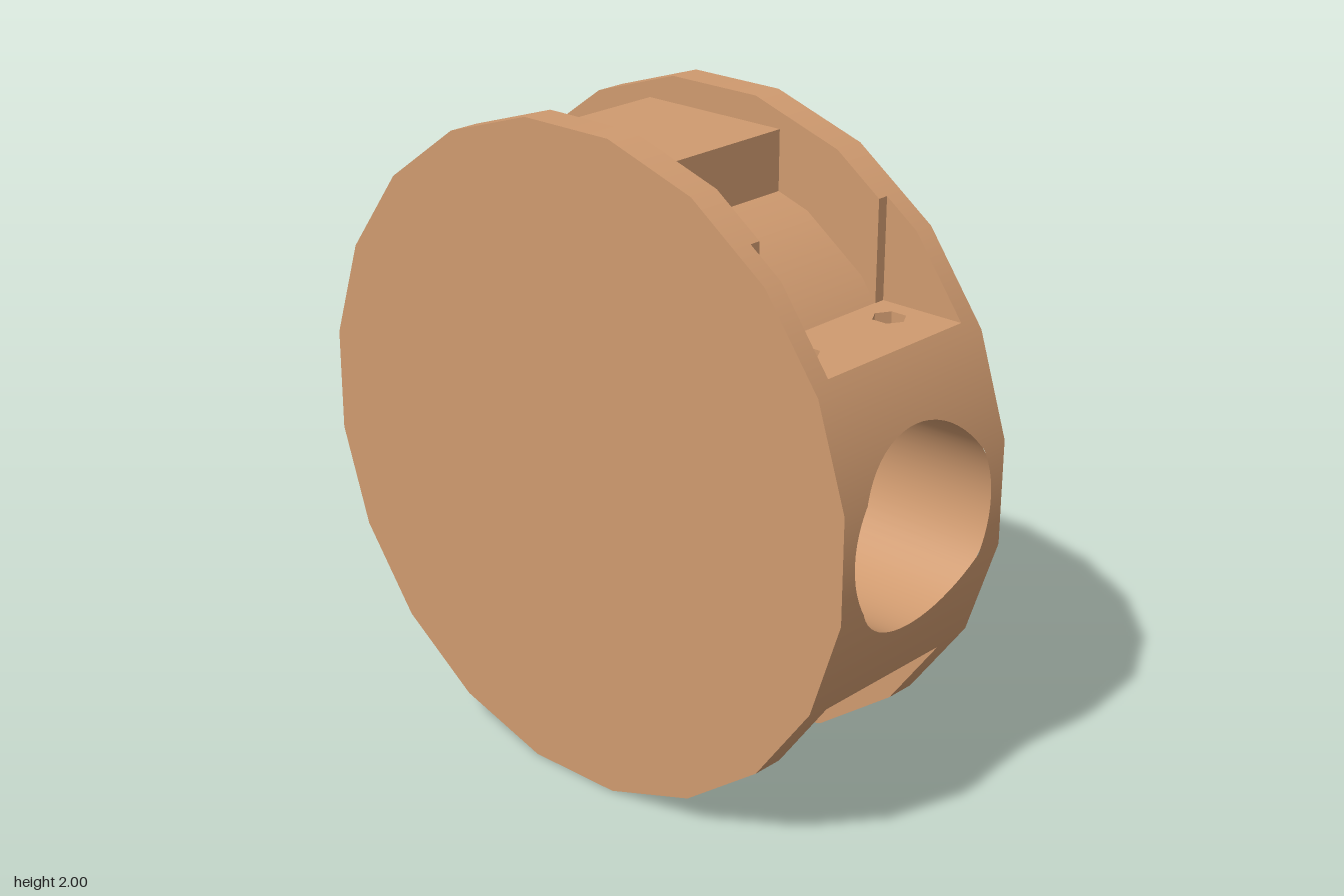
import * as THREE from 'three';

const COLOR = 0xcf9a6f;
const RAD = Math.PI / 180;
const STEP = 18;                       // 20-sided outline, flat at the top
const HALF = 0.35, GAP = 0.25, NOTCH = 0.285;
const RIM = 1, DRUM = 0.78;            // apothems
const BLOCK = 0.49, WALL_X = 0.61;     // block half height, notch wall
const BORE = 0.3, BORE_END = 0.25;

const front = new THREE.MeshStandardMaterial({ color: COLOR });
const back = new THREE.MeshStandardMaterial({ color: COLOR, side: THREE.BackSide });
const facetedBack = new THREE.MeshStandardMaterial({ color: COLOR, side: THREE.BackSide, flatShading: true });

// Point on the 20-sided outline at an angle in degrees
function onOutline(apothem, deg) {
  const r = apothem / Math.cos((deg - Math.round(deg / STEP) * STEP) * RAD);
  return new THREE.Vector2(r * Math.cos(deg * RAD), r * Math.sin(deg * RAD));
}

// Part of the outline between two angles, with all corners in between
function arc(apothem, a0, a1) {
  const pts = [onOutline(apothem, a0)];
  for (let a = Math.ceil((a0 - 9) / STEP) * STEP + 9; a < a1 - 1e-6; a += STEP)
    if (a > a0 + 1e-6) pts.push(onOutline(apothem, a));
  pts.push(onOutline(apothem, a1));
  return pts;
}

// x of the outline's right side at height y
function outlineX(y, apothem = RIM) {
  return Math.min(...[-36, -18, 0, 18, 36].map(c => (apothem - y * Math.sin(c * RAD)) / Math.cos(c * RAD)));
}

function mesh(name, geometry, material = front) {
  const m = new THREE.Mesh(geometry, material);
  m.name = name;
  return m;
}

// Strip that sweeps a counterclockwise path along z; lo and hi may vary with y
function ribbon(path, lo, hi, smooth = true) {
  const pos = [], nor = [];
  for (let i = 0; i < path.length - 1; i++) {
    const p = path[i], q = path[i + 1];
    const flat = new THREE.Vector2(q.y - p.y, p.x - q.x).normalize();
    const add = (v, zf) => {
      const n = smooth ? v.clone().normalize() : flat;
      pos.push(v.x, v.y, typeof zf === 'function' ? zf(v.y) : zf);
      nor.push(n.x, n.y, 0);
    };
    add(p, lo); add(q, lo); add(q, hi);
    add(p, lo); add(q, hi); add(p, hi);
  }
  const g = new THREE.BufferGeometry();
  g.setAttribute('position', new THREE.Float32BufferAttribute(pos, 3));
  g.setAttribute('normal', new THREE.Float32BufferAttribute(nor, 3));
  return g;
}

// Flat face across z
function face(name, points, z, material) {
  const m = mesh(name, new THREE.ShapeGeometry(new THREE.Shape(points)), material);
  m.position.z = z;
  return m;
}

// Round bore along x whose mouth follows the rim
function boreWall() {
  const pos = [], nor = [], idx = [], n = 64;
  for (let i = 0; i <= n; i++) {
    const t = i / n * Math.PI * 2, c = Math.cos(t), s = Math.sin(t);
    pos.push(outlineX(BORE * s), BORE * s, BORE * c, BORE_END, BORE * s, BORE * c);
    nor.push(0, -s, -c, 0, -s, -c);
    const a = i * 2;
    if (i < n) idx.push(a, a + 2, a + 1, a + 1, a + 2, a + 3);
  }
  const g = new THREE.BufferGeometry();
  g.setAttribute('position', new THREE.Float32BufferAttribute(pos, 3));
  g.setAttribute('normal', new THREE.Float32BufferAttribute(nor, 3));
  g.setIndex(idx);
  return mesh('boreWall', g, new THREE.MeshStandardMaterial({ color: COLOR, side: THREE.DoubleSide }));
}

export function createModel() {
  const model = new THREE.Group();
  model.name = 'spool';
  const body = new THREE.Group();
  body.name = 'spoolBody';
  body.position.y = 1;
  model.add(body);

  const edgeX = outlineX(BLOCK), drumX = outlineX(BLOCK, DRUM);
  const aBlock = Math.atan2(BLOCK, edgeX) / RAD;
  const wallY = (RIM - WALL_X * Math.sin(36 * RAD)) / Math.cos(36 * RAD);
  const aWall = Math.atan2(wallY, WALL_X) / RAD;
  const aDrum = Math.atan2(BLOCK, drumX) / RAD;
  const V = (x, y) => new THREE.Vector2(x, y);

  // Rim of the block between the flanges, pierced by the bore
  const ys = [-BLOCK, BLOCK];
  for (const a of [9, 27]) ys.push(Math.sin(a * RAD) * RIM / Math.cos(9 * RAD), -Math.sin(a * RAD) * RIM / Math.cos(9 * RAD));
  for (let i = 0; i <= 32; i++) ys.push(BORE * Math.sin((i / 32 - 0.5) * Math.PI));
  ys.sort((a, b) => a - b);
  const blockPath = ys.map(y => V(outlineX(y), y));
  const gap = y => Math.sqrt(Math.max(0, BORE * BORE - y * y));

  const longArc = arc(RIM, aWall, 360 - aBlock);
  const notchArc = arc(RIM, aBlock, aWall);
  const innerFace = [...longArc, V(0, -BLOCK), V(0, BLOCK), V(WALL_X, BLOCK)];
  const notchFace = [V(WALL_X, BLOCK), ...notchArc];
  const wall = [V(WALL_X, BLOCK), V(WALL_X, wallY)];

  // Two flanges, with a shallow notch cut in the inner side of each
  for (const s of [1, -1]) {
    const span = (a, b) => s > 0 ? [a, b] : [-b, -a];
    const flange = new THREE.Group();
    flange.name = s > 0 ? 'frontFlange' : 'backFlange';
    const outward = s > 0 ? front : back, inward = s > 0 ? back : front;
    flange.add(
      face('outerFace', arc(RIM, 9, 351), s * HALF, outward),
      face('innerFace', innerFace, s * GAP, inward),
      face('notchSide', notchFace, s * NOTCH, inward),
      mesh('rim', ribbon(longArc, ...span(GAP, HALF))),
      mesh('notchRim', ribbon(notchArc, ...span(NOTCH, HALF))),
      mesh('notchWall', ribbon(wall, ...span(GAP, NOTCH), false)),
      mesh('blockRim', s > 0 ? ribbon(blockPath, gap, HALF) : ribbon(blockPath, -HALF, y => -gap(y)))
    );
    body.add(flange);
  }

  // Winding drum and the stop block on top of it
  body.add(mesh('drum', ribbon(arc(DRUM, aDrum, 360 - aDrum), -GAP, GAP)));
  const stop = mesh('stopBlock', new THREE.BoxGeometry(0.5, 0.32, GAP * 2));
  stop.position.y = 0.76;
  body.add(stop);

  // Underside of the side block
  body.add(mesh('blockUnderside', ribbon([V(drumX, -BLOCK), V(edgeX, -BLOCK)], -GAP, GAP, false)));

  // Bore and its end
  const end = mesh('boreEnd', new THREE.CircleGeometry(BORE, 64));
  end.rotation.y = Math.PI / 2;
  end.position.x = BORE_END;
  body.add(boreWall(), end);

  // Top of the side block with two hexagonal screw holes
  const top = new THREE.Shape([V(drumX, -NOTCH), V(edgeX, -NOTCH), V(edgeX, NOTCH), V(drumX, NOTCH)]);
  const holeX = 0.71, holeR = 0.05, depth = 0.12;
  for (const z of [-0.185, 0.185]) {
    const hex = [];
    for (let i = 0; i < 6; i++) hex.push(V(holeX + holeR * Math.cos(i * 60 * RAD), z + holeR * Math.sin(i * 60 * RAD)));
    top.holes.push(new THREE.Path(hex));
    const wallMesh = mesh('screwHole', new THREE.CylinderGeometry(holeR, holeR, depth, 6, 1, true).rotateY(Math.PI / 6), facetedBack);
    wallMesh.position.set(holeX, BLOCK - depth / 2, z);
    const floor = mesh('screwHoleFloor', new THREE.CircleGeometry(holeR, 6).rotateX(-Math.PI / 2));
    floor.position.set(holeX, BLOCK - depth, z);
    body.add(wallMesh, floor);
  }
  const topMesh = mesh('blockTop', new THREE.ShapeGeometry(top).rotateX(-Math.PI / 2));
  topMesh.position.y = BLOCK;
  body.add(topMesh);

  return model;
}
